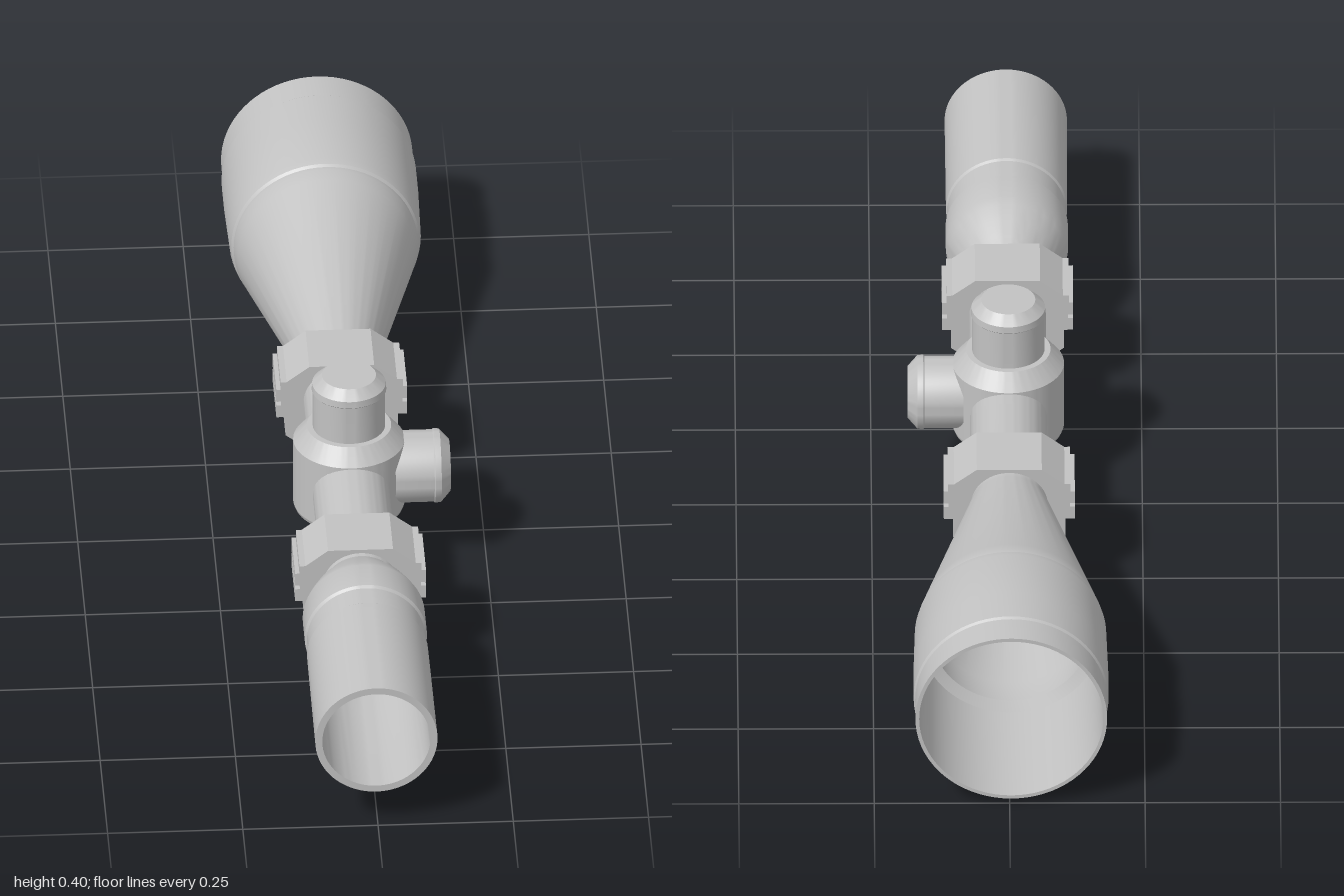
import * as THREE from 'three';
import { toCreasedNormals } from 'three/addons/utils/BufferGeometryUtils.js';

const AXIS_X = -0.003, AXIS_Y = 0.188, TURRET_Z = 0.08;

// Revolved part with crisp edges; points are [radius, height]
function lathe(points, segments = 64) {
  const g = new THREE.LatheGeometry(points.map(([r, h]) => new THREE.Vector2(r, h)), segments);
  return toCreasedNormals(g, 0.35);
}

// Removes the triangles that would block the bore of the main tube
function pierce(geometry, radius) {
  const g = geometry.toNonIndexed();
  const p = g.attributes.position, kept = [];
  for (let i = 0; i < p.count; i += 3) {
    const x = (p.getX(i) + p.getX(i + 1) + p.getX(i + 2)) / 3;
    const y = (p.getY(i) + p.getY(i + 1) + p.getY(i + 2)) / 3;
    if (Math.hypot(x, y - AXIS_Y) > radius) {
      for (let k = i; k < i + 3; k++) kept.push(p.getX(k), p.getY(k), p.getZ(k));
    }
  }
  const out = new THREE.BufferGeometry();
  out.setAttribute('position', new THREE.Float32BufferAttribute(kept, 3));
  return toCreasedNormals(out, 0.35);
}

export function createModel() {
  const model = new THREE.Group();
  model.name = 'scope';
  const metal = new THREE.MeshStandardMaterial({ color: 0xc2c2c2 });
  metal.name = 'light grey metal';
  const add = (name, geometry, x, y, z) => {
    const m = new THREE.Mesh(geometry, metal);
    m.name = name;
    m.position.set(x, y, z);
    model.add(m);
    return m;
  };

  // Hollow optical body: outside from objective to eyepiece, then back through the bore
  const body = lathe([
    [0.17, -1], [0.177, -1], [0.177, -0.935], [0.18, -0.93], [0.18, -0.85],
    [0.177, -0.72], [0.174, -0.705], [0.17, -0.7], [0.17, -0.69], [0.164, -0.665],
    [0.073, -0.3], [0.071, -0.285], [0.071, 0.48], [0.078, 0.495], [0.094, 0.525],
    [0.107, 0.557], [0.113, 0.575], [0.113, 0.645], [0.109, 0.65], [0.109, 0.7],
    [0.112, 0.705], [0.113, 1], [0.1, 1], [0.097, 0.75], [0.086, 0.65], [0.086, 0.58],
    [0.065, 0.49], [0.065, -0.3], [0.145, -0.66], [0.145, -0.72], [0.165, -0.73], [0.17, -1],
  ], 72);
  body.rotateX(Math.PI / 2);
  add('opticalBody', body, AXIS_X, AXIS_Y, 0);

  // Turret housing, finely divided so that the tube can pass through it
  const housing = [[0, 0.105], [0.084, 0.105], [0.1, 0.12]];
  for (let i = 1; i <= 24; i++) housing.push([0.103, 0.122 + i * 0.0058]);
  housing.push([0.078, 0.292], [0, 0.292]);
  const housingGeo = new THREE.LatheGeometry(housing.map(([r, h]) => new THREE.Vector2(r, h)), 96);
  add('turretHousing', pierce(housingGeo, 0.068), AXIS_X, 0, TURRET_Z);

  // Slanted guides inside the tube, narrowing the bore at both sides
  for (const s of [-1, 1]) {
    const guide = add('innerGuide', new THREE.BoxGeometry(0.006, 0.09, 0.08),
      AXIS_X + s * 0.053, AXIS_Y - 0.006, TURRET_Z);
    guide.rotation.z = -s * 0.11;
  }

  // Top and side adjustment knobs
  add('topKnob', lathe([
    [0.067, 0.27], [0.067, 0.369], [0.069, 0.371], [0.068, 0.384], [0.05, 0.401], [0, 0.401],
  ], 48), AXIS_X, 0, TURRET_Z);
  const sideKnob = lathe([
    [0.067, 0.08], [0.067, 0.152], [0.069, 0.154], [0.068, 0.165], [0.048, 0.183], [0, 0.183],
  ], 48);
  sideKnob.rotateZ(-Math.PI / 2);
  add('sideKnob', sideKnob, 0, 0.197, TURRET_Z);

  // Mount profile, right half from the top down to the rail claw, mirrored
  const half = [
    [0.06, 0.266], [0.102, 0.234], [0.113, 0.234], [0.113, 0.218], [0.121, 0.218], [0.121, 0.192],
    [0.112, 0.192], [0.112, 0.184], [0.121, 0.184], [0.121, 0.158], [0.104, 0.158],
    [0.104, 0.118], [0.066, 0.09], [0.079, 0.076], [0.079, 0.011], [0.063, 0.001],
    [0.05, 0.001], [0.064, 0.011], [0.062, 0.027],
  ];
  const outline = [...half, ...half.slice().reverse().map(([x, y]) => [-x, y])];
  const profile = new THREE.Shape(outline.map(([x, y]) => new THREE.Vector2(x, y)));
  const hole = new THREE.Path();
  hole.absarc(0, AXIS_Y, 0.068, 0, Math.PI * 2, true);
  profile.holes.push(hole);
  const mountGeo = new THREE.ExtrudeGeometry(profile, { depth: 0.125, bevelEnabled: false, curveSegments: 32 });
  add('frontMount', mountGeo, AXIS_X, 0, 0.345);
  add('rearMount', mountGeo, AXIS_X, 0, -0.286);

  return model;
}
